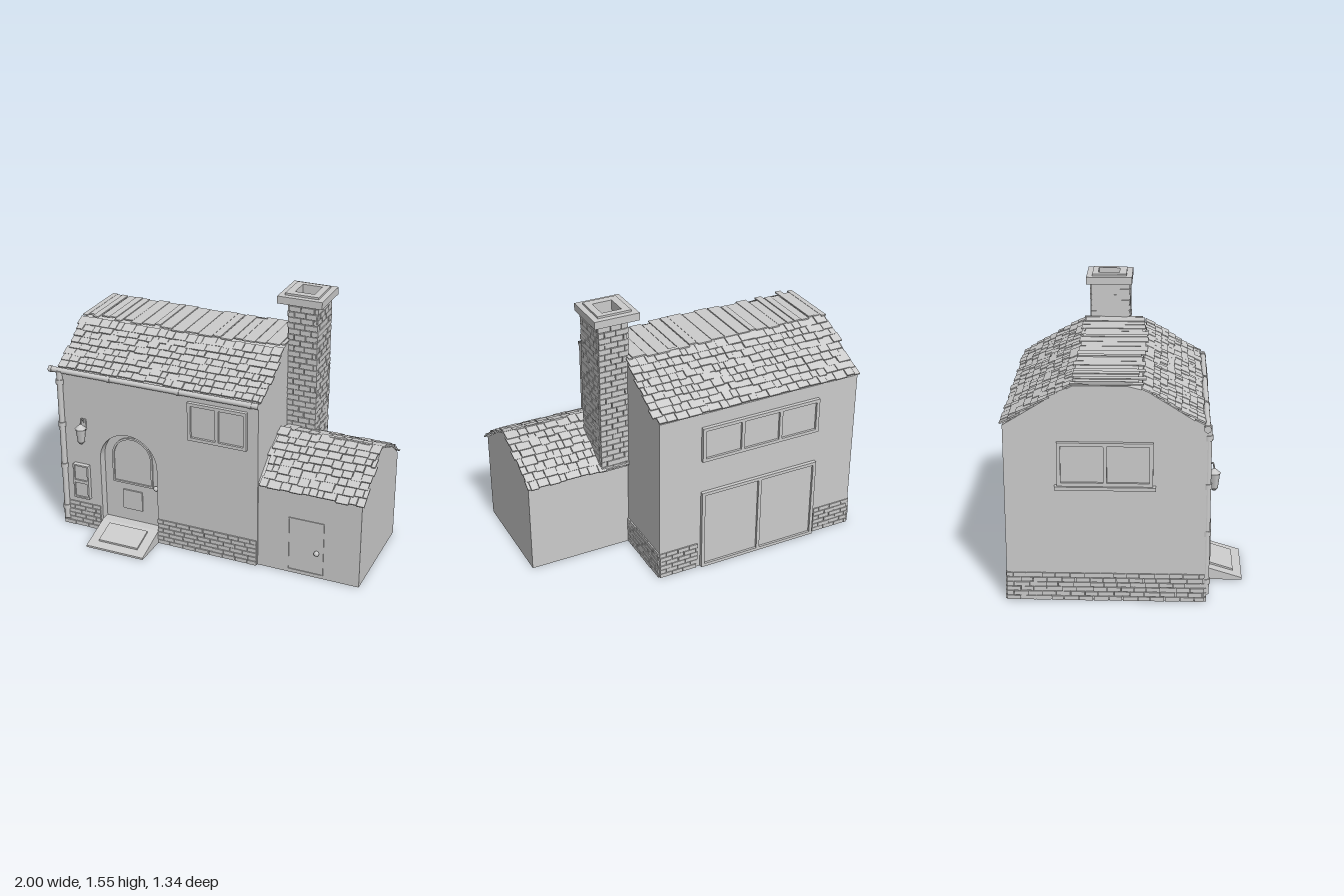
import * as THREE from 'three';
import { mergeGeometries } from 'three/addons/utils/BufferGeometryUtils.js';

const grey = new THREE.MeshStandardMaterial({ color: 0xcccccc });

export function createModel() {
  const house = new THREE.Group();
  let seed = 7;
  const rand = () => (seed = (seed * 16807) % 2147483647) / 2147483647;
  const vary = (a, b) => a + (b - a) * rand();

  const add = (name, geo, x = 0, y = 0, z = 0, ry = 0) => {
    const m = new THREE.Mesh(geo, grey);
    m.name = name;
    m.position.set(x, y, z);
    m.rotation.y = ry;
    house.add(m);
    return m;
  };
  const box = (x0, x1, y0, y1, z0, z1) =>
    new THREE.BoxGeometry(x1 - x0, y1 - y0, z1 - z0).translate((x0 + x1) / 2, (y0 + y1) / 2, (z0 + z1) / 2);
  const extrude = (shape, depth) =>
    new THREE.ExtrudeGeometry(shape, { depth, bevelEnabled: false, curveSegments: 16 });
  const rect = (x0, y0, x1, y1, T = THREE.Shape) =>
    new T([[x0, y0], [x1, y0], [x1, y1], [x0, y1]].map(p => new THREE.Vector2(...p)));
  // A [z, y] outline swept along x
  const prism = (pts, x0, x1) =>
    extrude(new THREE.Shape(pts.map(([z, y]) => new THREE.Vector2(-z, y))), x1 - x0)
      .rotateY(Math.PI / 2).translate(x0, 0, 0);
  // Arch-topped outline
  const arch = (x, y0, r, spring, T = THREE.Shape) => {
    const s = new T();
    s.moveTo(x - r, y0);
    s.lineTo(x + r, y0);
    s.lineTo(x + r, spring);
    s.absarc(x, spring, r, 0, Math.PI, false);
    s.closePath();
    return s;
  };

  // Running-bond bricks standing out of a wall, from its lower left corner
  const bricks = (w, h, rows, bw, out = 0.008) => {
    const parts = [], rh = h / rows, gap = 0.004;
    for (let r = 0; r < rows; r++) {
      let x = 0, next = bw * (r % 2 ? 0.5 : 1);
      while (x < w - 0.005) {
        const end = Math.min(w, next);
        if (end - x > 0.01)
          parts.push(box(x, end - gap, r * rh, (r + 1) * rh - gap, -0.005, out * vary(0.7, 1.2)));
        x = end;
        next = end + bw * vary(0.85, 1.15);
      }
    }
    return mergeGeometries(parts);
  };

  // Overlapping shingles laid down a slope of [z, y] points, ridge first
  const shingles = (pts, x0, x1, rows, side) => {
    const path = new THREE.CatmullRomCurve3(pts.map(([z, y]) => new THREE.Vector3(0, y, z)));
    const rowLen = path.getLength() / rows, parts = [];
    for (let r = 0; r < rows; r++) {
      const u = (r + 0.5) / rows, p = path.getPointAt(u), t = path.getTangentAt(u);
      const n = new THREE.Vector3(0, Math.abs(t.z), -t.y * side);
      const slope = t.clone().addScaledVector(n, 0.12);
      const angle = Math.atan2(-slope.y, slope.z);
      let x = x0 + vary(-0.015, 0.015);
      while (x < x1 - 0.015) {
        const w = Math.min(vary(0.035, 0.09), x1 + vary(0, 0.015) - x);
        const c = p.clone().addScaledVector(n, vary(0.002, 0.009)).addScaledVector(t, vary(-0.004, 0.006));
        parts.push(new THREE.BoxGeometry(w - 0.003, 0.009, rowLen * 1.35)
          .rotateX(angle).translate(x + w / 2, c.y, c.z));
        x += w;
      }
    }
    return mergeGeometries(parts);
  };

  // Frame with a row of panes, centred, facing +z
  const windowUnit = (name, w, h, n, x, y, z, ry, bar = 0.02) => {
    const g = new THREE.Group();
    g.name = name;
    const s = rect(-w / 2, -h / 2, w / 2, h / 2), pw = (w - bar * (n + 1)) / n;
    for (let i = 0; i < n; i++) {
      const a = -w / 2 + bar + i * (pw + bar);
      s.holes.push(rect(a, -h / 2 + bar, a + pw, h / 2 - bar, THREE.Path));
    }
    const frame = new THREE.Mesh(extrude(s, 0.022), grey);
    frame.name = name + 'Frame';
    const pane = new THREE.Mesh(box(-w / 2 + 0.005, w / 2 - 0.005, -h / 2 + 0.005, h / 2 - 0.005, -0.01, 0.008), grey);
    pane.name = name + 'Panes';
    g.add(frame, pane);
    g.position.set(x, y, z);
    g.rotation.y = ry;
    house.add(g);
  };

  // Main house, with a separate front wall holding the door recess
  add('mainBody', prism([[0.38, 0], [0.38, 1.07], [0.24, 1.16], [0.12, 1.235], [0.02, 1.26], [-0.27, 1.26],
    [-0.4, 1.19], [-0.65, 1.035], [-0.65, 0]], -0.95, 0.35));
  const front = rect(-0.95, 0, 0.35, 1.04);
  front.holes.push(arch(-0.49, 0.001, 0.19, 0.5, THREE.Path));
  add('frontWall', extrude(front, 0.07), 0, 0, 0.38);
  add('frontEave', prism([[0.38, 1.03], [0.45, 1.03], [0.45, 1.04], [0.38, 1.075]], -0.95, 0.35));

  // Annex
  add('annexBody', prism([[0.44, 0], [0.44, 0.55], [0.24, 0.69], [0.11, 0.75], [-0.1, 0.66], [-0.23, 0.56], [-0.23, 0]], 0.34, 0.98));

  // Roofs
  add('frontRoofShingles', shingles([[0.1, 1.25], [0.23, 1.17], [0.42, 1.055]], -0.95, 0.36, 8, 1));
  add('backRoofShingles', shingles([[-0.27, 1.26], [-0.4, 1.19], [-0.65, 1.045]], -0.95, 0.37, 9, -1));
  const planks = [];
  for (let x = -0.95; x < 0.34;) {
    const w = Math.min(vary(0.03, 0.1), 0.36 - x), y = vary(1.262, 1.27);
    planks.push(box(x, x + w - 0.004, y, y + 0.008, -0.29 + vary(0, 0.02), vary(0.07, 0.12)));
    x += w;
  }
  add('ridgePlanks', mergeGeometries(planks));
  add('annexFrontShingles', shingles([[0.11, 0.755], [0.25, 0.69], [0.36, 0.615], [0.45, 0.545]], 0.36, 0.99, 8, 1));
  add('annexBackShingles', shingles([[0.11, 0.755], [0.0, 0.715], [-0.12, 0.65], [-0.24, 0.56]], 0.36, 0.99, 8, -1));

  // Stone base around the main house
  const base = (name, w, x, z, ry) => add(name, bricks(w, 0.17, 6, 0.08), x, 0, z, ry);
  base('frontBaseLeft', 0.26, -0.95, 0.45, 0);
  base('frontBaseRight', 0.65, -0.3, 0.45, 0);
  base('rightBase', 0.42, 0.35, -0.23, Math.PI / 2);
  base('backBaseRight', 0.25, 0.35, -0.65, Math.PI);
  base('backBaseLeft', 0.25, -0.7, -0.65, Math.PI);
  base('leftBase', 1.1, -0.95, -0.65, -Math.PI / 2);

  // Hollow brick chimney with a stepped cap
  const ring = (x0, x1, z0, z1, h) => {
    const s = rect(x0, -z1, x1, -z0);
    s.holes.push(rect(0.36, 0.07, 0.48, 0.2, THREE.Path));
    return extrude(s, h).rotateX(-Math.PI / 2);
  };
  add('chimneyCore', ring(0.345, 0.52, -0.24, -0.01, 0.95), 0, 0.55);
  add('chimneyFloor', box(0.355, 0.485, 1.2, 1.22, -0.205, -0.065));
  const stack = (name, w, x, z, ry) => add(name, bricks(w, 0.94, 27, 0.075, 0.01), x, 0.55, z, ry);
  stack('chimneyFrontBricks', 0.175, 0.35, -0.01, 0);
  stack('chimneyRightBricks', 0.24, 0.52, -0.003, Math.PI / 2);
  stack('chimneyBackBricks', 0.175, 0.525, -0.24, Math.PI);
  stack('chimneyLeftBricks', 0.24, 0.35, -0.245, -Math.PI / 2);
  add('chimneyCap', ring(0.28, 0.555, -0.27, 0.01, 0.045), 0, 1.495);
  add('chimneyCapTop', ring(0.315, 0.52, -0.235, -0.025, 0.012), 0, 1.54);

  // Windows and garage doors
  windowUnit('frontWindow', 0.37, 0.24, 2, 0.1, 0.875, 0.45, 0);
  windowUnit('backWindow', 0.77, 0.22, 3, -0.3, 0.84, -0.65, Math.PI);
  windowUnit('garageDoor', 0.77, 0.52, 2, -0.3, 0.26, -0.65, Math.PI);
  windowUnit('sideWindow', 0.52, 0.25, 2, -0.95, 0.82, -0.1, -Math.PI / 2);
  add('sideWindowSill', box(-0.985, -0.945, 0.675, 0.695, -0.375, 0.175));

  // Front door: arched leaf, glazing rim, flap and knob
  add('doorLeaf', extrude(arch(-0.49, 0.08, 0.19, 0.5), 0.015), 0, 0, 0.378);
  const rim = arch(-0.49, 0.335, 0.135, 0.515);
  rim.holes.push(arch(-0.49, 0.347, 0.123, 0.515, THREE.Path));
  add('doorGlazingRim', extrude(rim, 0.012), 0, 0, 0.39);
  add('doorFlap', box(-0.56, -0.43, 0.16, 0.29, 0.385, 0.402));
  add('doorKnob', new THREE.SphereGeometry(0.016, 16, 10), -0.33, 0.345, 0.408);

  // Sloping doorstep and mat
  add('doorstep', prism([[0.375, 0], [0.375, 0.08], [0.45, 0.08], [0.67, 0.012], [0.67, 0]], -0.68, -0.3));
  add('doormat', prism([[0.48, 0.06], [0.48, 0.082], [0.62, 0.038], [0.62, 0.02]], -0.62, -0.36));

  // Annex door
  const jamb = rect(0.54, 0.02, 0.76, 0.37);
  jamb.holes.push(rect(0.546, 0.026, 0.754, 0.364, THREE.Path));
  add('annexDoorFrame', extrude(jamb, 0.008), 0, 0, 0.437);
  add('annexDoorKnob', new THREE.SphereGeometry(0.016, 16, 10), 0.72, 0.17, 0.452);

  // Letter box: two stacked panels in a frame
  const boxFrame = rect(-0.86, 0.21, -0.755, 0.44);
  for (const y of [0.22, 0.335]) boxFrame.holes.push(rect(-0.85, y, -0.765, y + 0.095, THREE.Path));
  add('letterBoxFrame', extrude(boxFrame, 0.03), 0, 0, 0.45);
  add('letterBoxPanels', box(-0.855, -0.76, 0.215, 0.435, 0.445, 0.47));

  // Gutter and drainpipe with collars
  add('gutter', new THREE.CylinderGeometry(0.017, 0.017, 1.35, 14).rotateZ(Math.PI / 2), -0.325, 1.04, 0.448);
  for (const x of [-0.99, -0.6, -0.15, 0.3])
    add('gutterCollar', new THREE.CylinderGeometry(0.02, 0.02, 0.02, 14).rotateZ(Math.PI / 2), x, 1.04, 0.448);
  add('drainpipe', new THREE.CylinderGeometry(0.018, 0.018, 1, 14), -0.93, 0.54, 0.455);
  for (const y of [0.12, 0.41, 0.69, 0.97])
    add('drainpipeCollar', new THREE.CylinderGeometry(0.024, 0.024, 0.03, 14), -0.93, y, 0.455);

  // Wall lantern
  add('lanternPlate', box(-0.795, -0.765, 0.68, 0.75, 0.448, 0.458));
  const arm = new THREE.CatmullRomCurve3([[0.45, 0.71], [0.465, 0.75], [0.485, 0.765], [0.495, 0.73]]
    .map(([z, y]) => new THREE.Vector3(-0.78, y, z)));
  add('lanternArm', new THREE.TubeGeometry(arm, 16, 0.005, 6));
  add('lanternGlass', new THREE.CylinderGeometry(0.032, 0.021, 0.09, 6).toNonIndexed(), -0.78, 0.66, 0.495);
  add('lanternRoof', new THREE.CylinderGeometry(0.006, 0.038, 0.028, 6), -0.78, 0.718, 0.495);
  add('lanternBase', new THREE.CylinderGeometry(0.024, 0.01, 0.016, 6), -0.78, 0.609, 0.495);
  return house;
}
